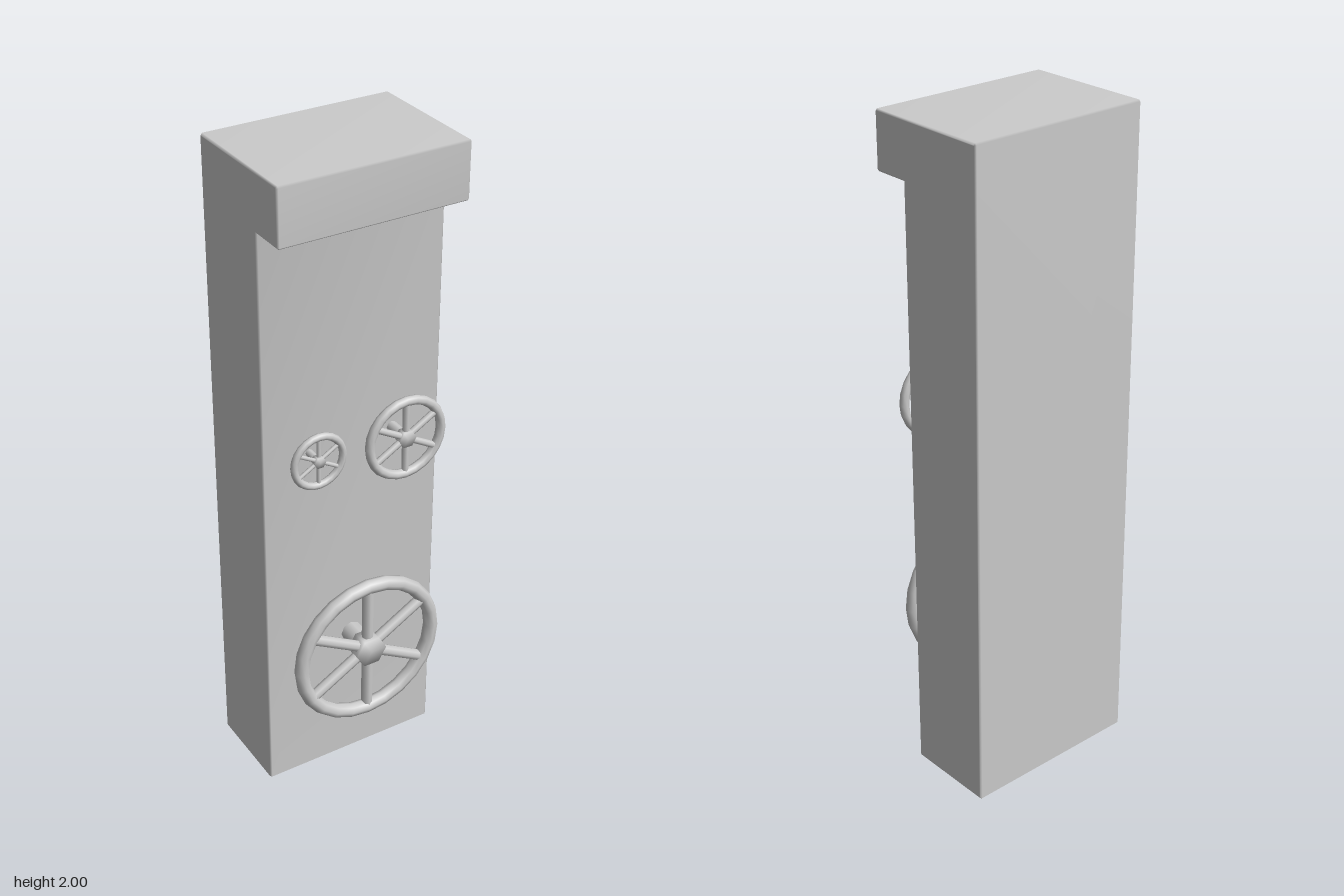
import * as THREE from 'three';
import { mergeVertices } from 'three/addons/utils/BufferGeometryUtils.js';

const material = new THREE.MeshStandardMaterial({ color: 0xcccccc });

// Share corner vertices so shading flows softly over the edges
function smooth(geometry) {
  geometry.deleteAttribute('normal');
  geometry.deleteAttribute('uv');
  const merged = mergeVertices(geometry, 1e-4);
  merged.computeVertexNormals();
  return merged;
}

function addMesh(parent, name, geometry) {
  const mesh = new THREE.Mesh(geometry, material);
  mesh.name = name;
  parent.add(mesh);
  return mesh;
}

// L-shaped side profile (z, y) with small chamfers, extruded across the width
function createBody() {
  const b = 0.005, back = -0.203, front = 0.084, lip = 0.195, under = 1.832, w = 0.57;
  const shape = new THREE.Shape([
    [back + b, 0], [front - b, 0], [front, b], [front, under],
    [lip - b, under], [lip, under + b], [lip, 2 - b], [lip - b, 2],
    [back + b, 2], [back, 2 - b], [back, b],
  ].map(([z, y]) => new THREE.Vector2(z, y)));
  const geometry = new THREE.ExtrudeGeometry(shape, {
    depth: w - 2 * b, bevelThickness: b, bevelSize: b, bevelOffset: -b, bevelSegments: 1,
  });
  geometry.translate(0, 0, -(w / 2 - b)).rotateY(-Math.PI / 2);
  return smooth(geometry);
}

// Handwheel facing +z: rim, six spokes, hub and shaft running back to the body
function createWheel({ name, x, y, z, radius, tube, spoke, hub, hubFront, shaft, shaftEnd }) {
  const wheel = new THREE.Group();
  wheel.name = name;
  wheel.position.set(x, y, z);
  const ring = radius - tube;
  addMesh(wheel, 'rim', new THREE.TorusGeometry(ring, tube, 8, 24));

  for (let i = 0; i < 6; i++) {
    const geometry = new THREE.CylinderGeometry(spoke, spoke, ring, 8);
    geometry.translate(0, ring / 2, 0);
    addMesh(wheel, 'spoke', geometry).rotation.z = i * Math.PI / 3;
  }

  const hubGeometry = new THREE.CylinderGeometry(hub, hub, hubFront * 2, 6);
  addMesh(wheel, 'hub', smooth(hubGeometry.rotateY(Math.PI / 6).rotateX(Math.PI / 2)));

  const length = z - shaftEnd;
  const shaftGeometry = new THREE.CylinderGeometry(shaft, shaft, length, 8);
  addMesh(wheel, 'shaft', shaftGeometry.rotateX(Math.PI / 2).translate(0, 0, -length / 2));
  return wheel;
}

export function createModel() {
  const model = new THREE.Group();
  model.name = 'controlCabinet';
  addMesh(model, 'body', createBody());

  const wheels = [
    { name: 'largeWheel', x: 0, y: 0.46, z: 0.176, radius: 0.246, tube: 0.022, spoke: 0.017,
      hub: 0.05, hubFront: 0.026, shaft: 0.033, shaftEnd: 0.08 },
    { name: 'mediumWheel', x: 0.123, y: 1.148, z: 0.167, radius: 0.131, tube: 0.014, spoke: 0.01,
      hub: 0.027, hubFront: 0.014, shaft: 0.016, shaftEnd: 0.095 },
    { name: 'smallWheel', x: -0.145, y: 1.148, z: 0.147, radius: 0.088, tube: 0.011, spoke: 0.006,
      hub: 0.018, hubFront: 0.011, shaft: 0.011, shaftEnd: 0.095 },
  ];
  for (const wheel of wheels) model.add(createWheel(wheel));
  return model;
}
